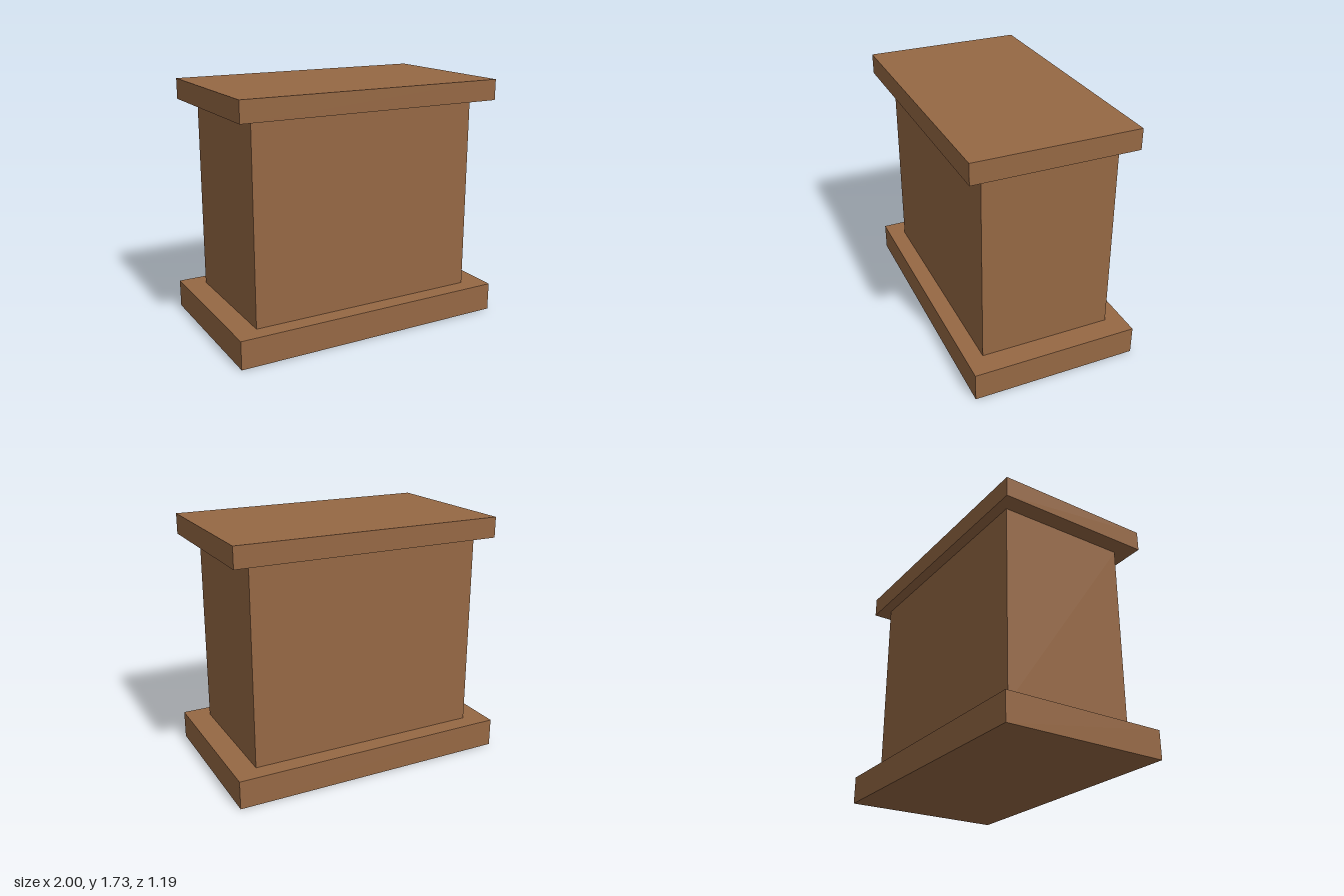
import * as THREE from 'three';

export function createModel() {
  const group = new THREE.Group();
  const brown = new THREE.MeshStandardMaterial({ color: 0x966844 });
  brown.name = 'brown';

  // Box given by its lower and upper limits on each axis
  const block = (name, [x0, x1], [y0, y1], [z0, z1]) => {
    const mesh = new THREE.Mesh(new THREE.BoxGeometry(x1 - x0, y1 - y0, z1 - z0), brown);
    mesh.position.set((x0 + x1) / 2, (y0 + y1) / 2, (z0 + z1) / 2);
    mesh.name = name;
    group.add(mesh);
  };

  block('base', [-1, 1], [0, 0.2], [-0.593, 0.593]);
  block('body', [-0.839, 0.836], [0.2, 1.585], [-0.467, 0.472]);
  // Top slab lies flush with the base at the front and is set back behind
  block('topSlab', [-0.96, 0.96], [1.585, 1.73], [-0.545, 0.593]);

  return group;
}
